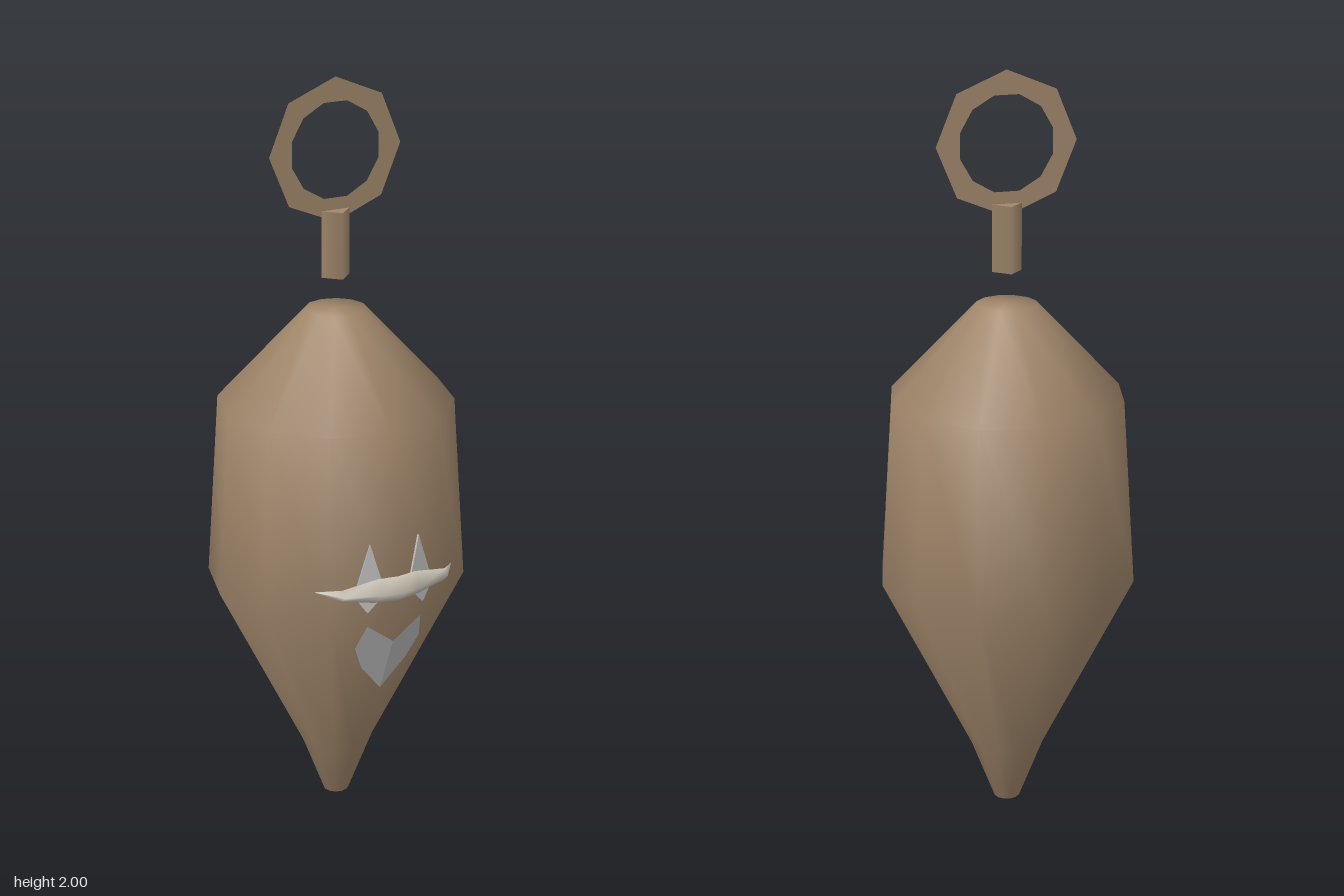
import * as THREE from 'three';

const AXIS_Z = -0.018; // the body's axis sits slightly behind centre
const FOLD = Math.tan(Math.PI / 12); // slope of the two front facets

function indexed(points, faces) {
  const g = new THREE.BufferGeometry();
  g.setAttribute('position', new THREE.Float32BufferAttribute(points.flat(), 3));
  g.setIndex(faces.flat());
  g.computeVertexNormals();
  return g;
}

// Curved spindle: four-sided sections along x, pointed at both ends
function spindleGeometry() {
  const half = [[0.055, 0.033, 0.316], [0.15, 0.016, 0.303], [0.2, 0.001, 0.25]];
  const stations = [
    ...half.map(([x, r, z]) => [-x, r, z]).reverse(), [0, 0.034, 0.326], ...half,
  ];
  const points = [], faces = [];
  stations.forEach(([x, r, z], i) => {
    for (let j = 0; j < 4; j++) {
      const a = j * Math.PI / 2;
      points.push([x, 0.745 + r * Math.cos(a), z + r * Math.sin(a)]);
      if (i === stations.length - 1) continue;
      const p = i * 4 + j, q = i * 4 + (j + 1) % 4;
      faces.push([p, q, p + 4], [q, q + 4, p + 4]);
    }
  });
  return indexed(points, faces);
}

// One half of the chin plate, lying on a front facet
function chinGeometry(side) {
  const outline = [[0, 0.585], [0.078, 0.645], [0.095, 0.57], [0.065, 0.5], [0, 0.42]];
  const points = outline.map(([x, y]) => {
    const bodyZ = AXIS_Z + 0.343 - (0.66 - y) * 0.496;
    return [side * x, y, bodyZ - FOLD * x + 0.008 + (0.645 - y) * 0.08];
  });
  const faces = [[0, 4, 3], [0, 3, 2], [0, 2, 1]];
  return indexed(points, side > 0 ? faces : faces.map(f => [...f].reverse()));
}

export function createModel() {
  const model = new THREE.Group();
  const material = (name, color) =>
    new THREE.MeshStandardMaterial({ name, color, side: THREE.DoubleSide });
  const brown = material('brown', 0xa0866a);
  const cream = material('cream', 0xcac3b6);
  const grey = material('grey', 0xb9b9b9);
  const add = (name, geometry, mat, x = 0, y = 0, z = 0) => {
    const mesh = new THREE.Mesh(geometry, mat);
    mesh.name = name;
    mesh.position.set(x, y, z);
    model.add(mesh);
    return mesh;
  };

  // Twelve-sided tapering body
  const profile = [[0, 0], [0.035, 0], [0.1, 0.17], [0.343, 0.66], [0.31, 1.155], [0.08, 1.4], [0, 1.402]]
    .map(([r, y]) => new THREE.Vector2(r, y));
  add('body', new THREE.LatheGeometry(profile, 12), brown, 0, 0, AXIS_Z);

  // Floating stem and flat ring
  add('stem', new THREE.CylinderGeometry(0.04, 0.04, 0.175, 4), brown, 0, 1.5725, AXIS_Z);
  const polygon = (r, n, turn) => Array.from({ length: n }, (_, i) => {
    const a = turn + i * 2 * Math.PI / n;
    return new THREE.Vector2(r * Math.sin(a), r * Math.cos(a));
  });
  const ring = new THREE.Shape(polygon(0.186, 8, 0));
  ring.holes.push(new THREE.Path(polygon(0.127, 12, Math.PI / 12)));
  add('ring', new THREE.ShapeGeometry(ring), brown, 0, 1.814, AXIS_Z);

  // Mouth bar with thin teeth above and below
  add('mouthBar', spindleGeometry(), cream);
  const tooth = new THREE.Shape([[0, 0.127], [-0.04, 0], [-0.03, -0.03], [-0.008, -0.06], [0.02, -0.03], [0.038, 0]]
    .map(([x, y]) => new THREE.Vector2(x, y)));
  for (const side of [-1, 1]) {
    const geometry = new THREE.ExtrudeGeometry(tooth, { depth: 0.006, bevelEnabled: false });
    if (side > 0) geometry.rotateY(Math.PI).translate(0, 0, 0.006);
    const mesh = add(side > 0 ? 'leftTooth' : 'rightTooth', geometry, grey, side * 0.071, 0.745, 0.305);
    mesh.rotation.set(-0.05, side * Math.PI / 12, 0, 'YXZ');
    add(side > 0 ? 'leftChinPlate' : 'rightChinPlate', chinGeometry(side), grey);
  }
  return model;
}
